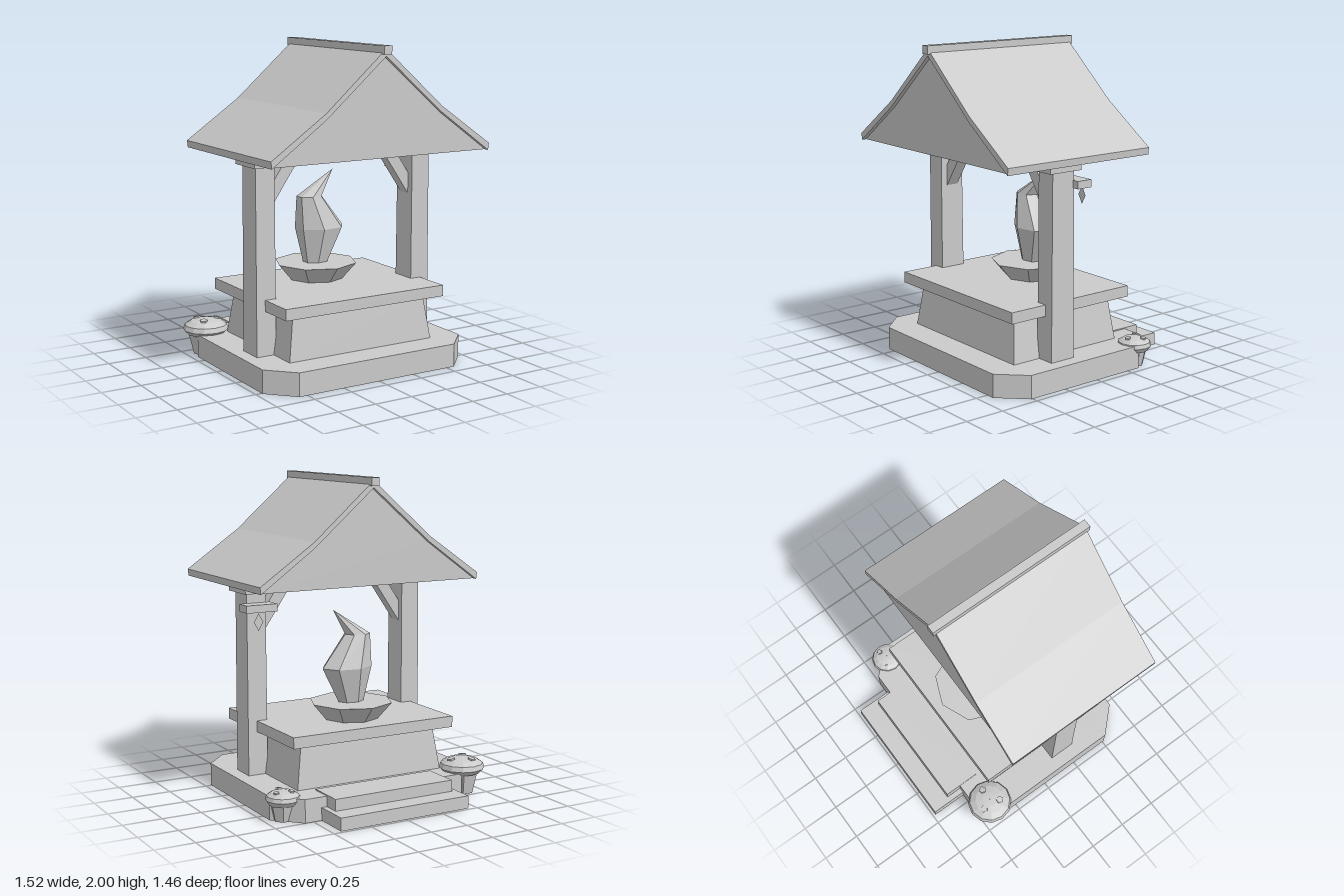
import * as THREE from 'three';

export function createModel() {
  const model = new THREE.Group();
  const stone = new THREE.MeshStandardMaterial({ color: 0xcacaca, flatShading: true, side: THREE.DoubleSide });
  stone.name = 'stone grey';

  function add(name, geometry, parent = model) {
    const mesh = new THREE.Mesh(geometry, stone);
    mesh.name = name;
    parent.add(mesh);
    return mesh;
  }
  // Box without a bottom, given by its limits; the top can be narrowed by a factor
  function box(name, [x0, x1], [y0, y1], [z0, z1], taperX = 1, taperZ = 1) {
    const g = new THREE.BoxGeometry(x1 - x0, y1 - y0, z1 - z0);
    g.setIndex([...g.index.array].filter((_, i) => i < 18 || i >= 24));
    g.clearGroups();
    const p = g.attributes.position;
    for (let i = 0; i < p.count; i++) {
      if (p.getY(i) > 0) p.setXYZ(i, p.getX(i) * taperX, p.getY(i), p.getZ(i) * taperZ);
    }
    g.translate((x0 + x1) / 2, (y0 + y1) / 2, (z0 + z1) / 2);
    return add(name, g);
  }
  const shapeOf = (points) => new THREE.Shape(points.map(([x, y]) => new THREE.Vector2(x, y)));

  // Base with cut corners, open underneath: top face and a ring of walls
  const baseHeight = 0.145;
  const plan = [[0.555, -0.5], [0.71, -0.34], [0.71, 0.51], [0.555, 0.67],
    [-0.555, 0.67], [-0.71, 0.51], [-0.71, -0.34], [-0.555, -0.5]];
  const baseTop = new THREE.ShapeGeometry(shapeOf(plan.map(([x, z]) => [x, -z])));
  baseTop.rotateX(-Math.PI / 2);
  add('baseTop', baseTop).position.y = baseHeight;
  const wallVerts = [];
  plan.forEach(([x, z], i) => {
    const [u, w] = plan[(i + 1) % plan.length];
    wallVerts.push(x, 0, z, x, baseHeight, z, u, 0, w, u, 0, w, x, baseHeight, z, u, baseHeight, w);
  });
  const walls = new THREE.BufferGeometry();
  walls.setAttribute('position', new THREE.Float32BufferAttribute(wallVerts, 3));
  walls.computeVertexNormals();
  add('baseWalls', walls);

  // Steps at the back
  box('lowerStep', [-0.445, 0.445], [0, 0.08], [-0.733, -0.5]);
  box('upperStep', [-0.41, 0.41], [0.08, 0.152], [-0.605, -0.36]);

  // Pedestal, table slab and bowl
  box('pedestal', [-0.51, 0.51], [0.145, 0.42], [-0.32, 0.48], 0.92, 0.92);
  box('tableSlab', [-0.565, 0.563], [0.42, 0.49], [-0.375, 0.535]);
  add('bowl', new THREE.CylinderGeometry(0.265, 0.175, 0.105, 8)).position.set(0, 0.542, -0.07);

  // Flame: seven-sided rings joined up to a bent tip
  const rings = [ // y, centre x, radius x, radius z
    [0.59, 0.001, 0.084, 0.066], [0.815, 0.032, 0.168, 0.123],
    [1.02, -0.044, 0.084, 0.076], [1.178, 0.125, 0.001, 0.001]];
  const sides = 7, verts = [], index = [];
  rings.forEach(([y, cx, rx, rz], r) => {
    for (let i = 0; i < sides; i++) {
      const a = (i / sides) * Math.PI * 2;
      verts.push(cx + rx * Math.cos(a), y, -0.07 + rz * Math.sin(a));
      if (r === rings.length - 1) continue;
      const j = (i + 1) % sides, lo = r * sides, hi = lo + sides;
      index.push(lo + i, hi + i, lo + j, lo + j, hi + i, hi + j);
    }
  });
  const flame = new THREE.BufferGeometry();
  flame.setAttribute('position', new THREE.Float32BufferAttribute(verts, 3));
  flame.setIndex(index);
  flame.computeVertexNormals();
  add('flame', flame);

  // Posts, braces and cross beam
  for (const s of [-1, 1]) {
    box('post', [s * 0.558 - 0.066, s * 0.558 + 0.066], [0.14, 1.3], [0.117, 0.288], 0.96, 0.94);
    const brace = add('brace', new THREE.BoxGeometry(0.075, 0.382, 0.08));
    brace.position.set(s * 0.452, 1.1625, 0.2);
    brace.rotation.z = s * Math.atan2(33, 48);
  }
  box('crossBeam', [-0.647, 0.647], [1.29, 1.35], [0.087, 0.32]);

  // Hanging bar with a thin diamond tag
  box('hangingBar', [0.46, 0.667], [1.183, 1.23], [0.028, 0.13]);
  const tag = add('hangingTag', new THREE.CircleGeometry(1, 4));
  tag.scale.set(0.032, 0.055, 1);
  tag.position.set(0.587, 1.125, 0.03);

  // Roof: bent slab, two recessed gable sheets and a ridge beam
  const half = [[0.4, 1.635], [0.757, 1.39], [0.752, 1.347], [0.4, 1.597]];
  const slab = new THREE.ExtrudeGeometry(shapeOf([[0, 1.982], ...half.map(([x, y]) => [-x, y]),
    [0, 1.938], ...[...half].reverse()]), { depth: 1.057, bevelEnabled: false });
  add('roofSlab', slab).position.z = -0.345;
  const gable = [[-0.75, 1.349], [0.75, 1.349], [0.4, 1.6], [0, 1.942], [-0.4, 1.6]];
  for (const z of [-0.318, 0.685]) add('gable', new THREE.ShapeGeometry(shapeOf(gable))).position.z = z;
  box('ridgeBeam', [-0.027, 0.027], [1.95, 2], [-0.365, 0.73]);

  // Spotted mushrooms at the back corners
  function mushroom(x, z, r, h, spots) {
    const group = new THREE.Group();
    group.name = 'mushroom';
    group.position.set(x, 0, z);
    model.add(group);
    const rim = h * 0.7;
    const cap = [[0.001, rim - 0.03], [r * 0.8, rim - 0.03], [r, rim], [r * 0.93, rim + (h - rim) * 0.45],
      [r * 0.66, rim + (h - rim) * 0.8], [r * 0.33, h * 0.985], [0.001, h]];
    add('cap', new THREE.LatheGeometry(cap.map(([a, b]) => new THREE.Vector2(a, b)), 12), group);
    add('stem', new THREE.CylinderGeometry(r * 0.8, r * 0.55, rim - 0.01, 7), group)
      .position.y = (rim - 0.01) / 2;
    for (const [sx, sz] of spots) {
      const d = Math.hypot(sx, sz);
      const spot = add('spot', new THREE.CylinderGeometry(r * 0.17, r * 0.17, 0.018, 5), group);
      spot.position.set(sx * r, rim + (h - rim) * Math.sqrt(1 - d * d * 0.9), sz * r);
      spot.rotation.set(sz * 0.45, 0, -sx * 0.45);
    }
  }
  mushroom(-0.62, -0.405, 0.145, 0.228, [[-0.2, -0.46], [0.55, 0], [-0.27, 0.35]]);
  mushroom(0.635, -0.37, 0.107, 0.182, [[-0.35, -0.35], [0.5, -0.22], [0, 0.5]]);

  return model;
}
